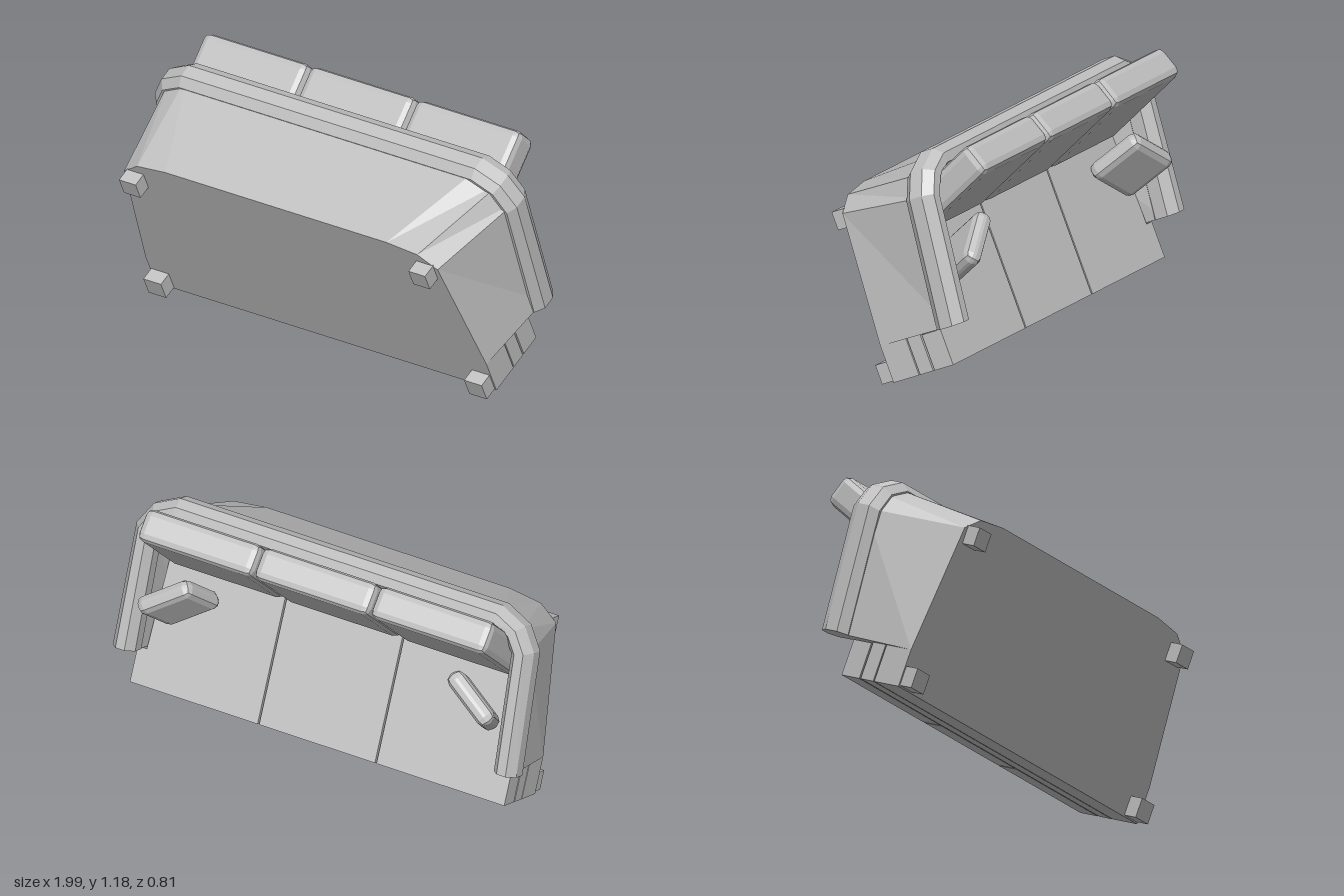
import * as THREE from 'three';
import { RoundedBoxGeometry } from 'three/addons/geometries/RoundedBoxGeometry.js';

const fabric = new THREE.MeshStandardMaterial({ color: 0xbfbfbf, flatShading: true });
fabric.name = 'grey fabric';

function add(parent, name, geometry, x = 0, y = 0, z = 0) {
  const mesh = new THREE.Mesh(geometry, fabric);
  mesh.name = name;
  mesh.position.set(x, y, z);
  parent.add(mesh);
  return mesh;
}

// Solid through a row of closed cross-sections, capped at both ends
function loft(rings) {
  const n = rings[0].length, last = (rings.length - 1) * n, pts = rings.flat(), tris = [];
  for (let i = 0; i < rings.length - 1; i++) {
    for (let j = 0; j < n; j++) {
      const a = i * n + j, b = i * n + (j + 1) % n;
      tris.push([a, b, b + n], [a, b + n, a + n]);
    }
  }
  for (let j = 1; j < n - 1; j++) tris.push([0, j + 1, j], [last, last + j, last + j + 1]);
  // turn the faces outward by the sign of the volume
  let volume = 0;
  for (const [a, b, c] of tris) volume += pts[a].dot(pts[b].clone().cross(pts[c]));
  const index = tris.flatMap(([a, b, c]) => (volume > 0 ? [a, b, c] : [a, c, b]));
  let g = new THREE.BufferGeometry().setFromPoints(pts);
  g.setIndex(index);
  g = g.toNonIndexed();
  g.computeVertexNormals();
  return g;
}

// Flat slab from a plan outline of [x, z] points
function slab(outline, bottom, top) {
  const shape = new THREE.Shape(outline.map(([x, z]) => new THREE.Vector2(x, -z)));
  const g = new THREE.ExtrudeGeometry(shape, { depth: top - bottom, bevelEnabled: false });
  return g.rotateX(-Math.PI / 2).translate(0, bottom, 0);
}

// Half plan, front to back: rail centre x, z; outward direction x, z; foot of the wall x, z
const half = [
  [0.942, -0.22, 1, 0, 0.925, -0.22],
  [0.93, -0.79, 0.95, -0.3, 0.85, -0.82],
  [0.88, -0.875, 0.7, -0.7, 0.76, -0.885],
  [0.79, -0.92, 0.12, -1, 0.6, -0.905],
];
const mirrored = half.map(([x, z, nx, nz, fx, fz]) => [-x, z, -nx, nz, -fx, fz]).reverse();
const stations = [...half, ...mirrored];
const railHeight = (z) => 0.42 + 0.126 * (-0.22 - z);

const railProfile = [
  [0.055, -0.035], [0.055, 0.03], [0.022, 0.075], [-0.022, 0.075],
  [-0.055, 0.03], [-0.055, -0.035], [-0.022, -0.075], [0.022, -0.075],
];

export function createModel() {
  const model = new THREE.Group();
  model.name = 'tippedSofa';
  const sofa = new THREE.Group();
  sofa.name = 'sofa';
  model.add(sofa);

  // Arm and back rail in one sweep
  add(sofa, 'armAndBackRail', loft(stations.map(([x, z, nx, nz]) =>
    railProfile.map(([o, h]) => new THREE.Vector3(x + nx * o, railHeight(z) + h, z + nz * o)))));

  // Curved wall below the rail, narrowing towards the floor
  add(sofa, 'armAndBackWall', loft(stations.map(([x, z, nx, nz, fx, fz]) => {
    const h = railHeight(z);
    return [
      new THREE.Vector3(fx, 0.01, fz),
      new THREE.Vector3(x + nx * 0.025, h, z + nz * 0.025),
      new THREE.Vector3(x - nx * 0.045, h, z - nz * 0.045),
      new THREE.Vector3(fx - nx * 0.06, 0.01, fz - nz * 0.06),
    ];
  })));

  // Base in two layers with a groove between them
  const plan = [[-0.925, -0.048], [0.925, -0.048], ...stations.map((s) => [s[4], s[5]])];
  add(sofa, 'lowerBase', slab(plan, 0.01, 0.15));
  add(sofa, 'upperBase', slab(plan, 0.156, 0.228));
  add(sofa, 'baseCore', new THREE.BoxGeometry(1.66, 0.25, 0.66), 0, 0.16, -0.395);

  // Seat cushions: the outer two reach round in front of the arms
  add(sofa, 'middleSeatCushion',
    slab([[-0.286, -0.048], [0.286, -0.048], [0.286, -0.8], [-0.286, -0.8]], 0.236, 0.338));
  for (const s of [-1, 1]) {
    const outline = [[0.294, -0.048], [0.925, -0.048], [0.925, -0.215], [0.88, -0.215], [0.86, -0.8], [0.294, -0.8]];
    add(sofa, 'outerSeatCushion', slab(outline.map(([x, z]) => [s * x, z]), 0.236, 0.338));
  }

  // Leaning back cushions
  for (const i of [-1, 0, 1]) {
    const cushion = add(sofa, 'backCushion', new RoundedBoxGeometry(0.568, 0.51, 0.15, 1, 0.033),
      i * 0.576, 0.545, -0.788);
    cushion.rotation.x = -0.39;
  }

  for (const s of [-1, 1]) {
    // Throw pillow in each corner
    const pillow = add(sofa, 'throwPillow', new RoundedBoxGeometry(0.28, 0.28, 0.085, 1, 0.035),
      s * 0.73, 0.47, -0.5);
    pillow.rotation.set(-0.41, -s * 0.63, 0, 'YXZ');
    // Legs
    add(sofa, 'frontLeg', new THREE.BoxGeometry(0.095, 0.07, 0.09), s * 0.87, -0.02, -0.1);
    add(sofa, 'backLeg', new THREE.BoxGeometry(0.09, 0.07, 0.085), s * 0.785, -0.02, -0.795);
  }

  // The sofa lies tipped forward, with its underside to the front
  const side = new THREE.Vector3(-1, -0.024, -0.014).normalize();
  const up = new THREE.Vector3(0.003, 0.405, -0.914);
  const front = side.clone().cross(up).normalize();
  up.crossVectors(front, side);
  sofa.quaternion.setFromRotationMatrix(new THREE.Matrix4().makeBasis(side, up, front));
  return model;
}
